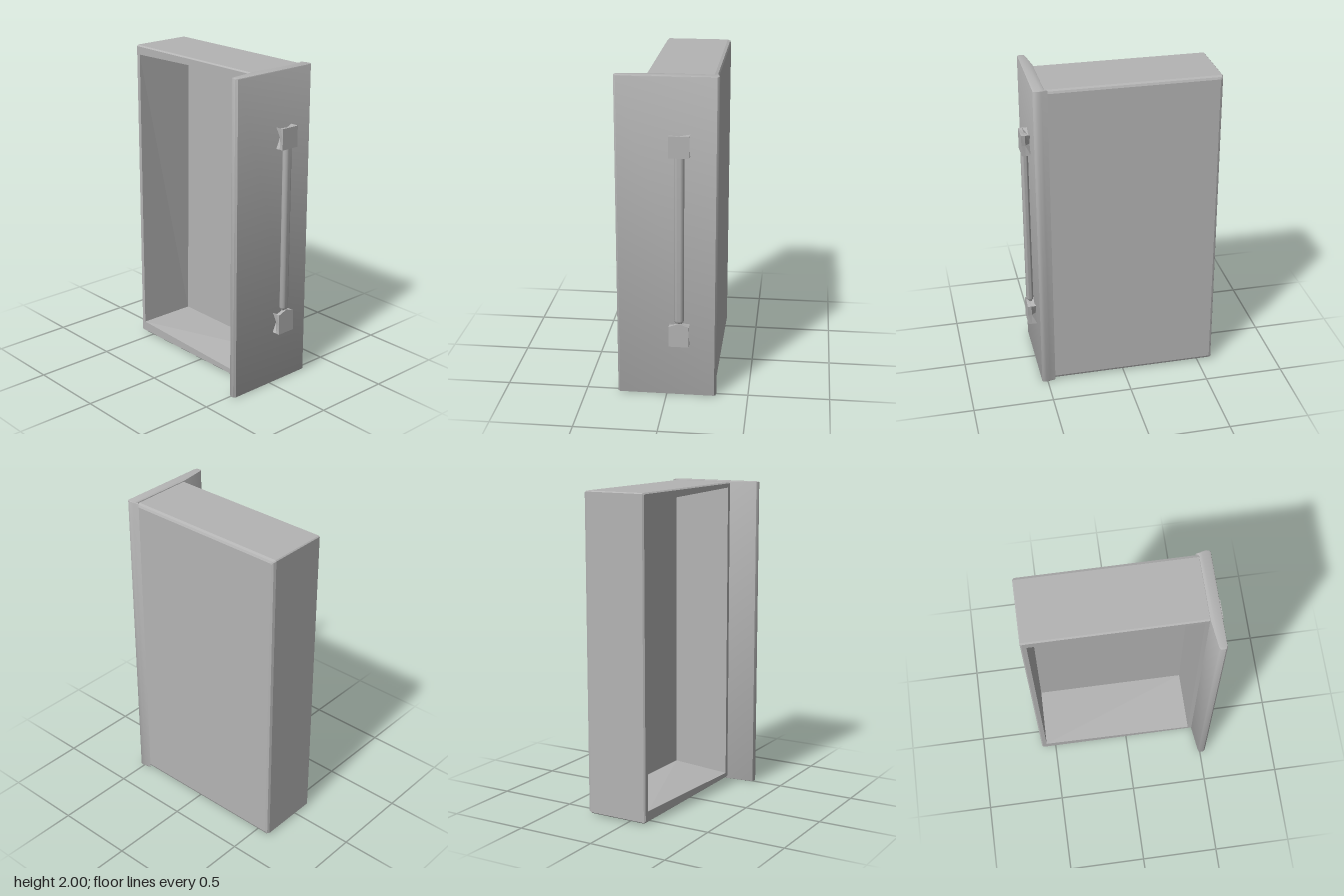
import * as THREE from 'three';
import { toCreasedNormals } from 'three/addons/utils/BufferGeometryUtils.js';

// Joins closed rings of points with quads.
function loft(rings) {
  const pos = [];
  for (let i = 0; i < rings.length - 1; i++) {
    const n = rings[i].length;
    for (let j = 0; j < n; j++) {
      const k = (j + 1) % n;
      const a = rings[i][j], b = rings[i][k], c = rings[i + 1][k], d = rings[i + 1][j];
      pos.push(...a, ...b, ...c, ...a, ...c, ...d);
    }
  }
  const g = new THREE.BufferGeometry();
  g.setAttribute('position', new THREE.Float32BufferAttribute(pos, 3));
  g.computeVertexNormals();
  return g;
}

// Rectangle with cut corners at depth z, counterclockwise from the front.
function rect(x0, x1, y0, y1, c, z) {
  return [[x0 + c, y0], [x1 - c, y0], [x1, y0 + c], [x1, y1 - c],
    [x1 - c, y1], [x0 + c, y1], [x0, y1 - c], [x0, y0 + c]].map(([x, y]) => [x, y, z]);
}

// Four corners of an opening, each doubled to match the outer rings.
function opening(bl, br, tr, tl, z) {
  return [bl, br, br, tr, tr, tl, tl, bl].map(([x, y]) => [x, y, z]);
}

// Closing point for a ring.
const point = (x, y, z) => Array.from({ length: 8 }, () => [x, y, z]);

export function createModel() {
  const group = new THREE.Group();
  const grey = new THREE.MeshStandardMaterial({ color: 0xb4b4b4 });
  grey.name = 'grey';
  const add = (name, geometry, parent = group) => {
    const mesh = new THREE.Mesh(geometry, grey);
    mesh.name = name;
    parent.add(mesh);
    return mesh;
  };

  // Open tray, from the centre of its back round to the inner floor
  const front = [[-0.56, 0.08], [0.44, 0.045], [0.44, 1.96], [-0.56, 1.935]];
  const floor = [[-0.555, 0.08], [0.435, 0.075], [0.435, 1.905], [-0.53, 1.93]];
  add('tray', loft([
    point(-0.06, 1, -0.292),
    rect(-0.575, 0.48, 0.03, 1.975, 0.006, -0.292),
    rect(-0.588, 0.48, 0.016, 1.988, 0.006, -0.286),
    rect(-0.594, 0.48, 0.01, 1.994, 0.006, -0.27),
    rect(-0.594, 0.48, 0.01, 1.994, 0.006, 0.112),
    rect(-0.586, 0.48, 0.018, 1.986, 0.006, 0.121),
    opening(...front, 0.121),
    opening(...floor, -0.26),
    point(-0.06, 1, -0.26),
  ]));

  // Tapered face panel with rounded edges, extruded upward
  const outline = [[0.45, -0.292], [0.465, -0.28], [0.466, 0.12], [0.487, 0.285], [0.492, 0.298],
    [0.505, 0.304], [0.525, 0.302], [0.536, 0.29], [0.536, -0.293], [0.526, -0.303],
    [0.508, -0.306], [0.485, -0.301]];
  const shape = new THREE.Shape(outline.map(([x, z]) => new THREE.Vector2(x, -z)));
  const panel = new THREE.ExtrudeGeometry(shape, {
    depth: 1.988, bevelEnabled: true, bevelThickness: 0.006, bevelSize: 0.005,
    bevelOffset: -0.005, bevelSegments: 2,
  });
  panel.rotateX(-Math.PI / 2);
  panel.translate(0, 0.006, 0);
  add('facePanel', toCreasedNormals(panel, 0.7));

  // Handle: two notched mounts and a round bar
  const handle = new THREE.Group();
  handle.name = 'handle';
  group.add(handle);
  const zc = -0.08, w = 0.061, h = 0.065;
  const mount = (name, yc, peak) => {
    // square ring with its side midpoints pulled inward by a notch
    const ring = (x, notch, top) => [[w, -h], [0, -h + notch], [-w, -h], [-w + notch, 0],
      [-w, h], [0, h - notch + top], [w, h], [w - notch, 0]].map(([z, y]) => [x, yc + y, zc + z]);
    add(name, loft([ring(0.534, 0.03, 0), ring(0.565, 0.004, peak),
      ring(0.589, 0, peak), point(0.589, yc, zc)]), handle);
  };
  mount('lowerMount', 0.412, 0.022);
  mount('upperMount', 1.597, 0);

  const profile = [[0.017, 0.47], [0.018, 0.497], [0.026, 0.503], [0.03, 0.515], [0.03, 1.55]]
    .map(([r, y]) => new THREE.Vector2(r, y));
  const bar = add('bar', toCreasedNormals(new THREE.LatheGeometry(profile, 20), 0.7), handle);
  bar.scale.x = 0.75;
  bar.position.set(0.566, 0, zc);

  return group;
}
